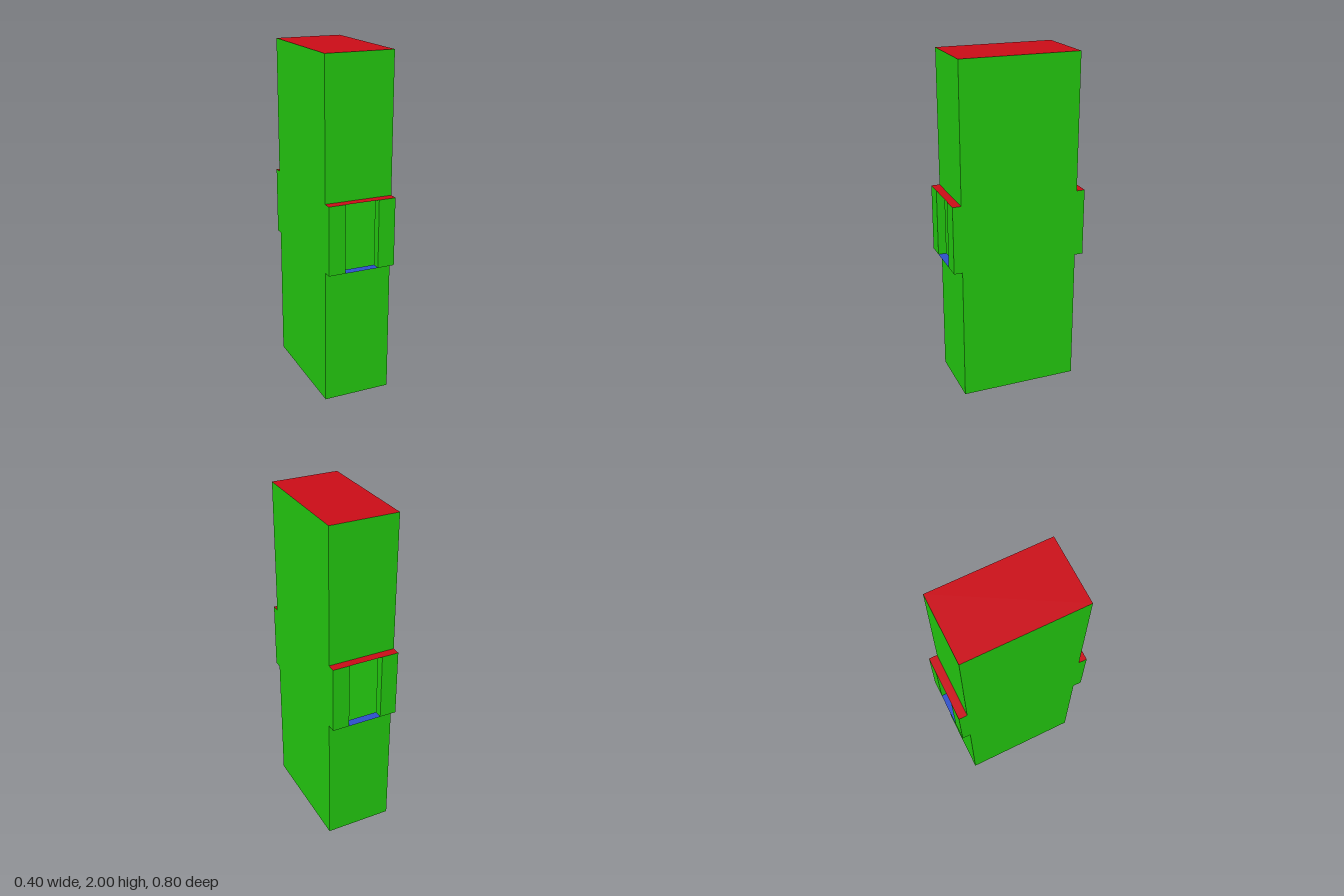
import * as THREE from 'three';

const W = 0.4, H = 2, D = 0.7;          // hollow body
const RIM = 0.05;                       // how far each window frame stands out
const WIN_W = 0.2, WIN_H = 0.4, MID = 1; // window opening

const material = (color) => new THREE.MeshStandardMaterial({ color, side: THREE.DoubleSide });

export function createModel() {
  const green = material(0x24cc10), red = material(0xcc0d18), blue = material(0x2d50cc);
  const model = new THREE.Group();

  // Thin flat sheet; rx and ry turn it away from facing +z
  function sheet(parent, name, w, h, mat, [x, y, z], rx = 0, ry = 0) {
    const mesh = new THREE.Mesh(new THREE.PlaneGeometry(w, h), mat);
    mesh.name = name;
    mesh.position.set(x, y, z);
    mesh.rotation.set(rx, ry, 0);
    parent.add(mesh);
  }

  // Outer shell: side walls, roof and base
  sheet(model, 'leftWall', D, H, green, [W / 2, H / 2, 0], 0, Math.PI / 2);
  sheet(model, 'rightWall', D, H, green, [-W / 2, H / 2, 0], 0, -Math.PI / 2);
  sheet(model, 'roof', W, D, red, [0, H, 0], -Math.PI / 2);
  sheet(model, 'base', W, D, blue, [0, 0, 0], Math.PI / 2);

  // End wall with a window cut through it
  const wallShape = new THREE.Shape([
    [-W / 2, 0], [W / 2, 0], [W / 2, H], [-W / 2, H],
  ].map(([x, y]) => new THREE.Vector2(x, y)));
  const y0 = MID - WIN_H / 2, y1 = MID + WIN_H / 2;
  wallShape.holes.push(new THREE.Path([
    [-WIN_W / 2, y0], [-WIN_W / 2, y1], [WIN_W / 2, y1], [WIN_W / 2, y0],
  ].map(([x, y]) => new THREE.Vector2(x, y))));
  const wallGeometry = new THREE.ShapeGeometry(wallShape);

  // Front and back ends are the same, turned half a circle
  for (const [name, turn] of [['front', 0], ['back', Math.PI]]) {
    const end = new THREE.Group();
    end.name = name + 'End';
    end.rotation.y = turn;
    const wall = new THREE.Mesh(wallGeometry, green);
    wall.name = name + 'Wall';
    wall.position.z = D / 2;
    end.add(wall);

    // Raised frame: two posts between a top and a bottom plate
    const zMid = D / 2 + RIM / 2, post = (W - WIN_W) / 2;
    for (const s of [-1, 1]) {
      sheet(end, 'postFace', post, WIN_H, green, [s * (W - post) / 2, MID, D / 2 + RIM]);
      sheet(end, 'postOuterSide', RIM, WIN_H, green, [s * W / 2, MID, zMid], 0, s * Math.PI / 2);
      sheet(end, 'postInnerSide', RIM, WIN_H, green, [s * WIN_W / 2, MID, zMid], 0, -s * Math.PI / 2);
    }
    sheet(end, 'frameTop', W, RIM, red, [0, y1, zMid], -Math.PI / 2);
    sheet(end, 'frameBottom', W, RIM, blue, [0, y0, zMid], Math.PI / 2);
    model.add(end);
  }
  return model;
}
